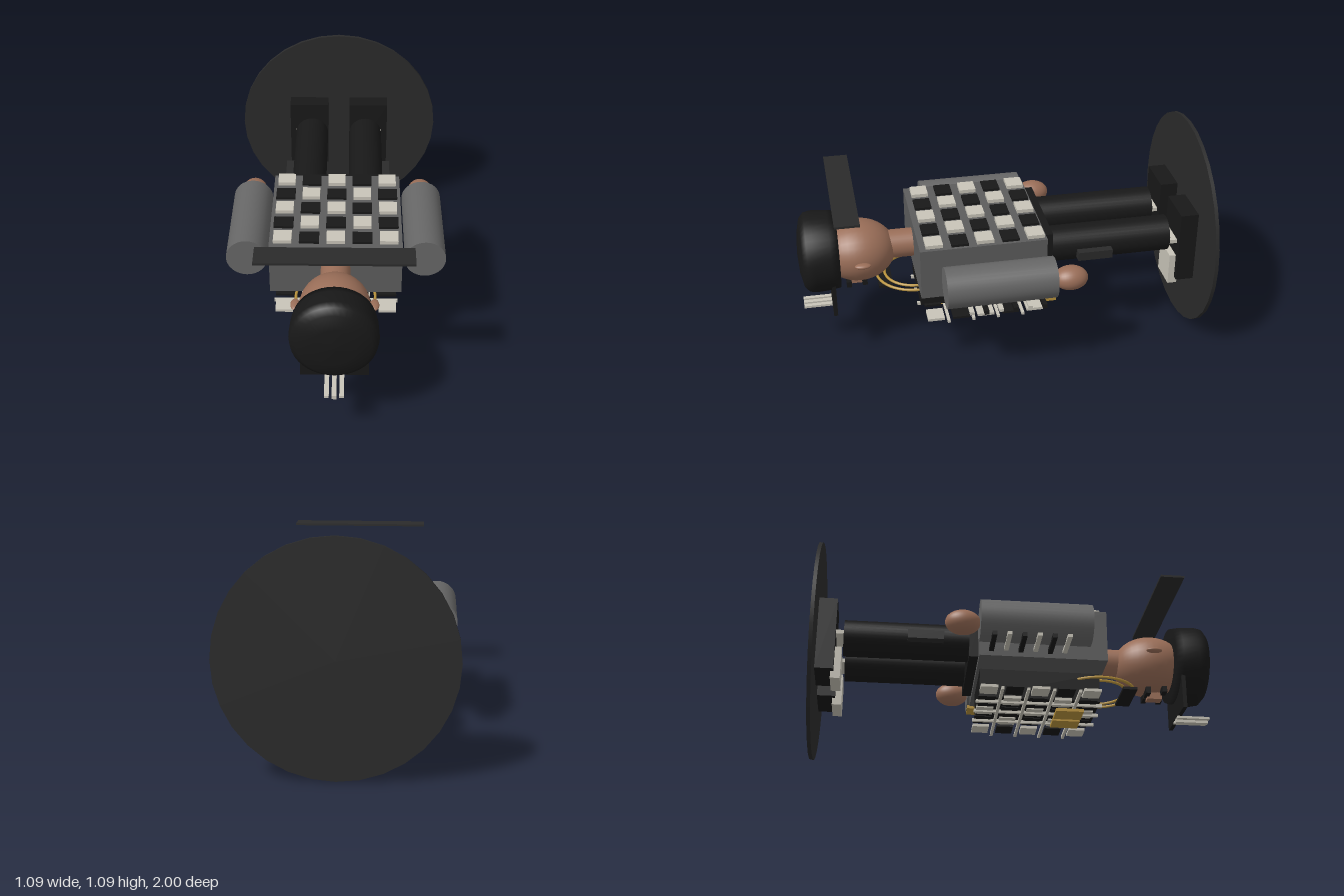
import * as THREE from 'three';

const mat = (color) => new THREE.MeshStandardMaterial({ color });

export function createModel() {
  const root = new THREE.Group();
  const black = mat(0x181818), charcoal = mat(0x2a2a2a), grey = mat(0x5c5c5c);
  const sleeveGrey = mat(0x666666), cream = mat(0xc8c4b8), skin = mat(0x9a6e58), gold = mat(0xb8923c);

  const add = (name, geo, m, x = 0, y = 0, z = 0) => {
    const mesh = new THREE.Mesh(geo, m);
    mesh.name = name;
    mesh.position.set(x, y, z);
    root.add(mesh);
    return mesh;
  };
  // Box given by its limits on each axis
  const box = (name, m, [x0, x1], [y0, y1], [z0, z1]) =>
    add(name, new THREE.BoxGeometry(x1 - x0, y1 - y0, z1 - z0), m, (x0 + x1) / 2, (y0 + y1) / 2, (z0 + z1) / 2);
  // Cylinder lying along z
  const rod = (name, m, r, x, y, z0, z1, sides = 32) =>
    add(name, new THREE.CylinderGeometry(r, r, z1 - z0, sides).rotateX(Math.PI / 2), m, x, y, (z0 + z1) / 2);
  const ball = (name, m, rx, ry, rz, x, y, z) =>
    add(name, new THREE.SphereGeometry(1, 32, 20).rotateX(Math.PI / 2).scale(rx, ry, rz), m, x, y, z);
  // Limits mirrored to the chosen side
  const side = (s, a, b) => (s > 0 ? [a, b] : [-b, -a]);

  // Display base at the feet
  rod('baseDisc', charcoal, 0.545, 0, 0.545, -1, -0.982, 32);

  for (const s of [1, -1]) {
    // Legs and shoes
    rod('leg', black, 0.09, s * 0.15, 0.55, -0.855, -0.2);
    box('legPocket', charcoal, side(s, 0.22, 0.278), [0.51, 0.555], [-0.545, -0.37]);
    box('shoe', black, side(s, 0.06, 0.273), [0.33, 0.705], [-0.982, -0.892]);
    box('shoeToe', cream, side(s, 0.085, 0.242), [0.295, 0.46], [-0.907, -0.86]);
    box('shoeLace', cream, side(s, 0.09, 0.24), [0.532, 0.552], [-0.9, -0.855]);

    // Arms with striped undersides, and hands
    rod('sleeve', sleeveGrey, 0.101, s * 0.437, 0.54, -0.21, 0.325);
    for (let i = 0; i < 6; i++) {
      const z = 0.21 - i * 0.071, light = i % 2 === 0;
      box('sleeveStripe', light ? cream : black, side(s, 0.347, 0.527),
        [light ? 0.431 : 0.424, 0.446], [z - 0.011, z + 0.011]);
    }
    ball('hand', skin, 0.066, 0.06, 0.085, s * 0.437, 0.525, -0.29);
    ball('ear', skin, 0.022, 0.012, 0.04, s * 0.184, 0.549, 0.69);
  }
  box('wristWatch', gold, [0.39, 0.48], [0.432, 0.45], [-0.208, -0.155]);

  // Torso, hips and dark shirt front
  box('torso', grey, [-0.32, 0.32], [0.415, 0.68], [-0.2, 0.425]);
  box('hips', black, [-0.245, 0.245], [0.44, 0.66], [-0.245, -0.19]);
  box('shirtFront', black, [-0.16, 0.16], [0.265, 0.416], [-0.185, 0.41]);

  // Chequered tiles on back and front
  for (let i = 0; i < 5; i++) {
    for (let j = 0; j < 5; j++) {
      const x = (i - 2) * 0.128, z = 0.352 - j * 0.125, light = (i + j) % 2 === 0;
      const w = light ? 0.044 : 0.048, d = 0.042, m = light ? cream : black;
      box('backTile', m, [x - w, x + w], [0.675, light ? 0.698 : 0.692], [z - d, z + d]);
      box('frontTile', m, [x - w, x + w], [light ? 0.259 : 0.262, 0.273], [z - d, z + d]);
    }
  }
  // Crossing lines over the front tiles
  for (const x of [-0.125, 0, 0.125])
    box('lengthwiseLine', cream, [x - 0.007, x + 0.007], [0.25, 0.265], [-0.2, 0.425]);
  for (let j = 0; j < 4; j++) {
    const z = 0.29 - j * 0.125;
    box('crosswiseLine', cream, [-0.31, 0.31], [0.246, 0.26], [z - 0.007, z + 0.007]);
  }
  box('goldPlate', gold, [-0.102, 0.005], [0.232, 0.248], [0.2, 0.338]);
  box('goldPlate', gold, [0.027, 0.12], [0.232, 0.248], [0.2, 0.338]);

  // Chains around the neck
  for (const r of [0.194, 0.152])
    add('neckChain', new THREE.TorusGeometry(r, 0.007, 8, 48).rotateX(Math.PI / 2), gold, 0, 0.384, 0.42);

  // Neck, head and face
  rod('neck', skin, 0.072, 0, 0.55, 0.41, 0.56);
  ball('head', skin, 0.168, 0.153, 0.186, 0, 0.538, 0.697);
  box('nose', skin, [-0.025, 0.025], [0.353, 0.39], [0.68, 0.755]);
  for (const s of [1, -1]) {
    box('eye', black, side(s, 0.035, 0.085), [0.369, 0.4], [0.745, 0.77]);
    box('moustache', black, side(s, 0.005, 0.07), [0.365, 0.4], [0.665, 0.69]);
  }
  box('beard', black, [-0.11, 0.11], [0.362, 0.376], [0.54, 0.612]);

  // Cap with a rounded crown, a visor and a loose brim band
  const crown = [[0, 0.8], [0.192, 0.8], [0.2, 0.84], [0.205, 0.92], [0.198, 0.955], [0.17, 0.978], [0.1, 0.994], [0, 1]];
  add('capCrown', new THREE.LatheGeometry(crown.map(([r, h]) => new THREE.Vector2(r, h)), 40).rotateX(Math.PI / 2),
    black, 0, 0.55, 0).material.side = THREE.DoubleSide;
  box('capVisor', black, [-0.16, 0.16], [0.258, 0.44], [0.828, 0.848]);
  box('brimBand', charcoal, [-0.36, 0.36], [0.875, 0.886], [0.702, 0.822]);
  for (const x of [-0.035, 0, 0.035])
    box('visorTrim', cream, [x - 0.011, x + 0.011], [x ? 0.245 : 0.237, 0.257], [0.825, 0.99]);

  return root;
}
